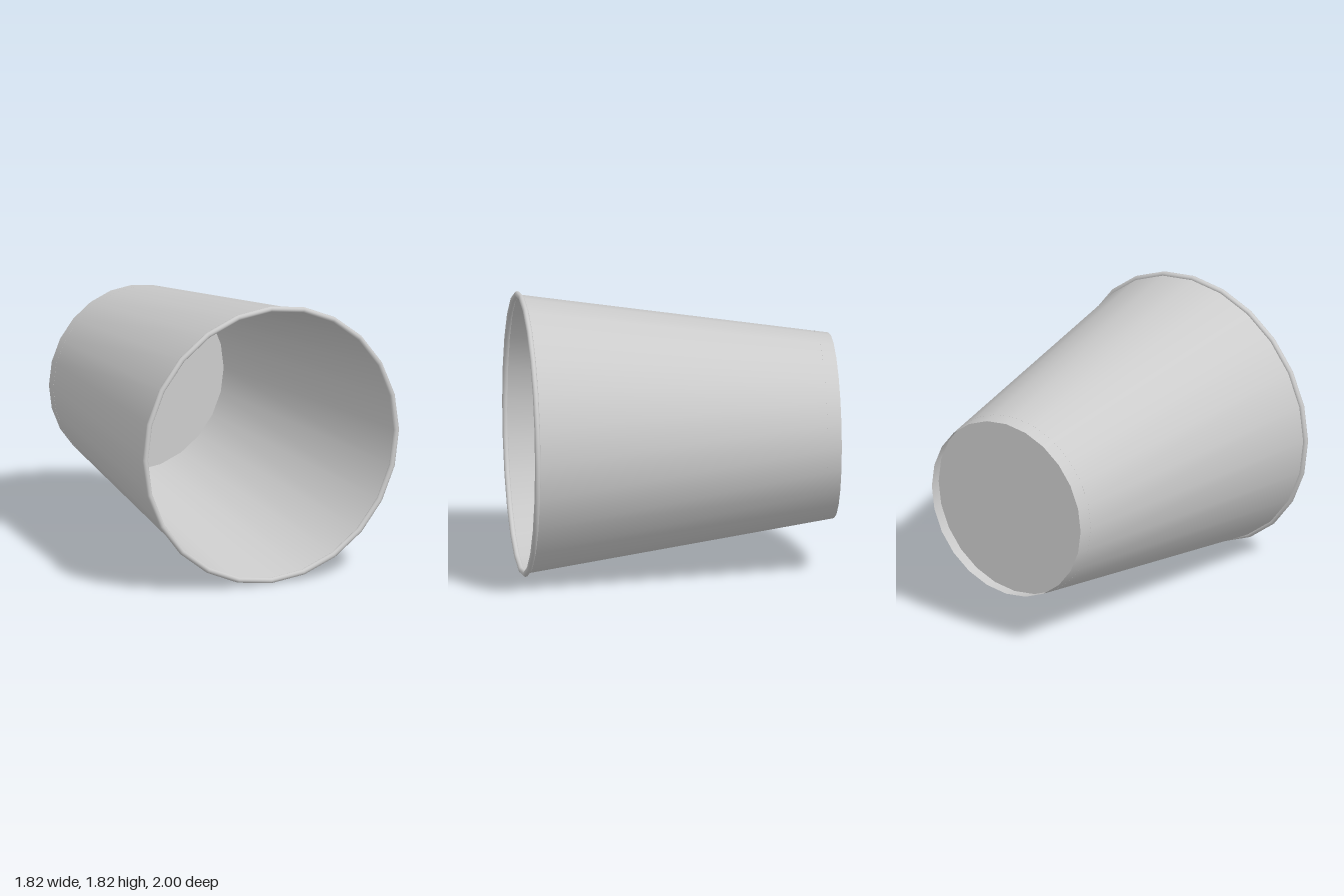
import * as THREE from 'three';

const SIDES = 24;
const CENTRE_Y = 0.91;

export function createModel() {
  const model = new THREE.Group();
  model.name = 'cup';
  const material = new THREE.MeshStandardMaterial({ color: 0xcccccc, side: THREE.DoubleSide });

  const add = (name, geometry, z = 0) => {
    const mesh = new THREE.Mesh(geometry, material);
    mesh.name = name;
    mesh.position.set(0, CENTRE_Y, z);
    model.add(mesh);
  };

  // Thin tapered wall, lying on its side with the mouth towards +z
  const profile = [[0.591, -1], [0.889, 0.982]].map(([r, h]) => new THREE.Vector2(r, h));
  add('wall', new THREE.LatheGeometry(profile, SIDES).rotateX(Math.PI / 2));

  // Floor, set slightly in from the back edge
  add('floor', new THREE.CircleGeometry(0.605, SIDES), -0.91);

  // Rolled lip around the mouth
  add('rim', new THREE.TorusGeometry(0.891, 0.018, 12, SIDES), 0.982);

  return model;
}
